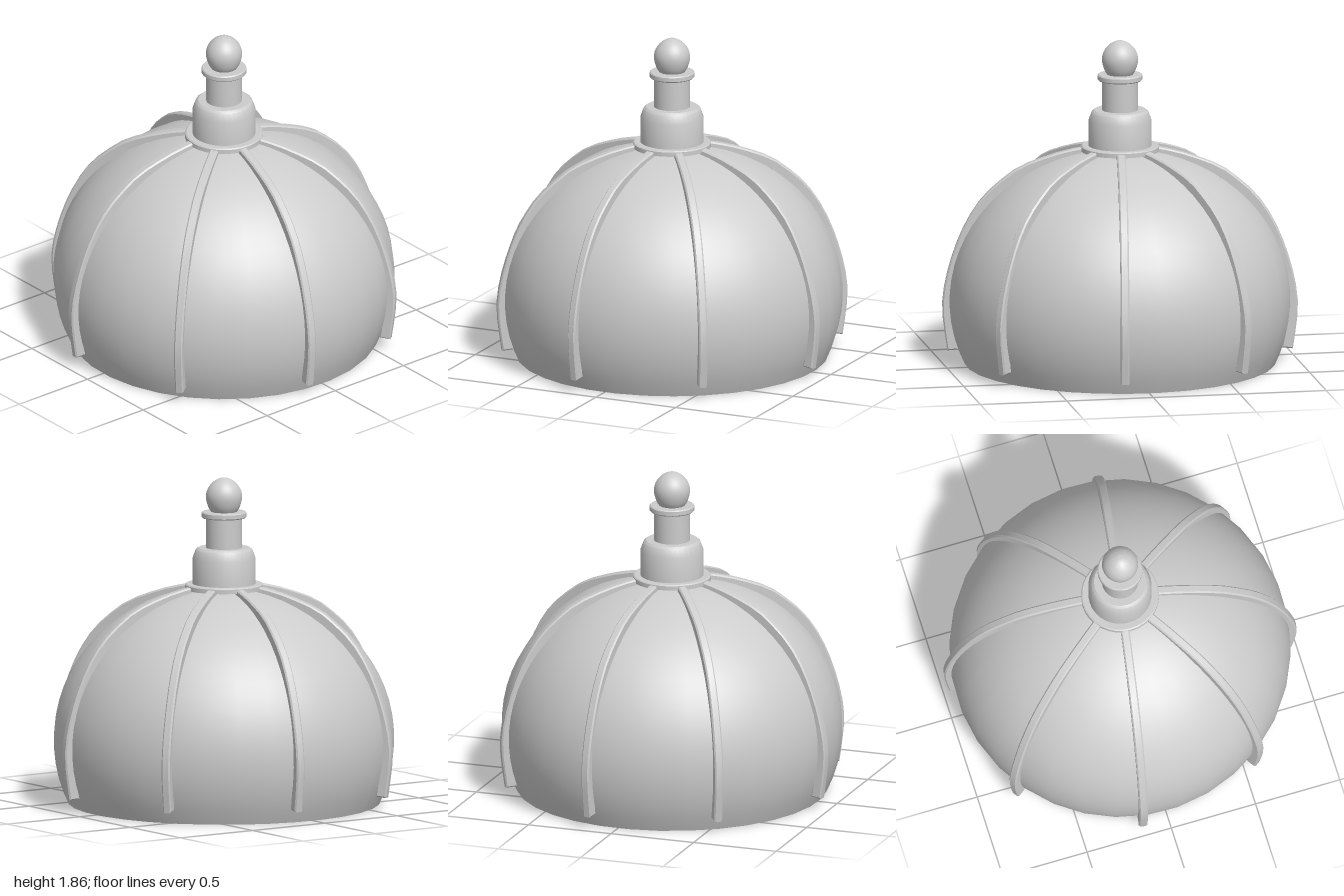
import * as THREE from 'three';
import { toCreasedNormals } from 'three/addons/utils/BufferGeometryUtils.js';

const material = new THREE.MeshStandardMaterial({ color: 0xcccccc });
const shellMaterial = new THREE.MeshStandardMaterial({ color: 0xcccccc, side: THREE.DoubleSide });
const vectors = (pairs) => pairs.map(([x, y]) => new THREE.Vector2(x, y));
const RIBS = 8;
const RIB_TURN = THREE.MathUtils.degToRad(9.2);

function lathe(name, pairs, segments = 32) {
  const geometry = toCreasedNormals(new THREE.LatheGeometry(vectors(pairs), segments), 0.55);
  const mesh = new THREE.Mesh(geometry, material);
  mesh.name = name;
  return mesh;
}

// Open shell: an ellipse profile, cut flat at the base
function createDome() {
  const a = 0.97, b = 0.88, centerY = 0.36;
  const start = -Math.asin(centerY / b), end = Math.PI / 2 - 0.1;
  const profile = [];
  for (let i = 0; i <= 20; i++) {
    const t = start + (end - start) * i / 20;
    profile.push(new THREE.Vector2(a * Math.cos(t), centerY + b * Math.sin(t)));
  }
  const geometry = new THREE.LatheGeometry(profile, 32, THREE.MathUtils.degToRad(4));
  const mesh = new THREE.Mesh(geometry, shellMaterial);
  mesh.name = 'dome';
  return mesh;
}

// Curved bar in the radial plane, extruded to its width
function createRibGeometry() {
  const thickness = 0.063, width = 0.05, bevel = 0.008, steps = 18;
  const curve = new THREE.SplineCurve(vectors([
    [0.983, 0.08], [1.009, 0.37], [0.93, 0.69], [0.796, 0.94],
    [0.608, 1.11], [0.497, 1.165], [0.335, 1.22], [0.18, 1.253],
  ]));
  const outer = [], inner = [];
  for (let i = 0; i <= steps; i++) {
    const p = curve.getPointAt(i / steps);
    const t = curve.getTangentAt(i / steps);
    const normal = new THREE.Vector2(t.y, -t.x);
    outer.push(p.clone().addScaledVector(normal, -bevel));
    inner.unshift(p.clone().addScaledVector(normal, bevel - thickness));
  }
  const geometry = new THREE.ExtrudeGeometry(new THREE.Shape([...outer, ...inner]), {
    depth: width - 2 * bevel, bevelEnabled: true, bevelSize: bevel,
    bevelThickness: bevel, bevelSegments: 1,
  });
  geometry.translate(0, 0, bevel - width / 2);
  return toCreasedNormals(geometry, 0.55);
}

function createRibs() {
  const group = new THREE.Group();
  group.name = 'ribs';
  const geometry = createRibGeometry();
  for (let i = 0; i < RIBS; i++) {
    const rib = new THREE.Mesh(geometry, material);
    rib.name = `rib${i + 1}`;
    rib.rotation.y = -RIB_TURN + i * 2 * Math.PI / RIBS;
    group.add(rib);
  }
  return group;
}

// Stacked turned pieces on top of the dome
function createFinial() {
  const group = new THREE.Group();
  group.name = 'finial';
  group.add(
    lathe('collar', [[0, 1.225], [0.222, 1.225], [0.222, 1.25], [0.215, 1.256], [0, 1.256]]),
    lathe('base', [[0, 1.24], [0.18, 1.24], [0.18, 1.4], [0.162, 1.45], [0.147, 1.462], [0, 1.462]]),
    lathe('neck', [[0, 1.45], [0.103, 1.45], [0.103, 1.64], [0, 1.64]]),
    lathe('flange', [[0, 1.633], [0.122, 1.633], [0.128, 1.639], [0.128, 1.662], [0.122, 1.668], [0, 1.668]]),
  );
  const knob = new THREE.SplineCurve(vectors([
    [0.068, 1.66], [0.09, 1.695], [0.103, 1.75], [0.093, 1.798],
    [0.064, 1.836], [0.03, 1.857], [0, 1.864],
  ])).getPoints(18).map((p) => [Math.max(0, p.x), p.y]);
  group.add(lathe('knob', knob));
  return group;
}

export function createModel() {
  const model = new THREE.Group();
  model.name = 'ribbedDome';
  model.add(createDome(), createRibs(), createFinial());
  return model;
}
